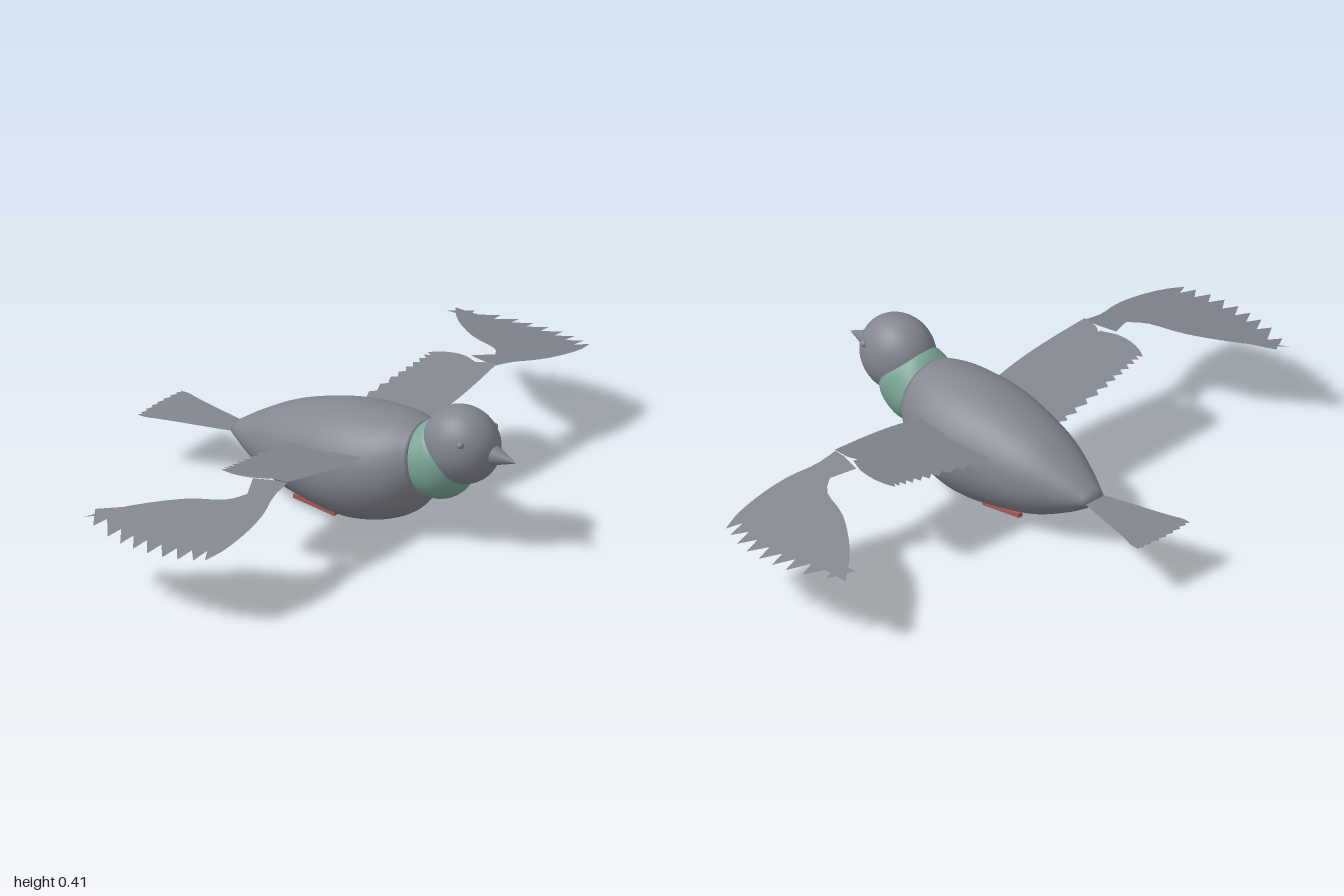
import * as THREE from 'three';

const material = (name, color, side = THREE.FrontSide) => {
  const m = new THREE.MeshStandardMaterial({ color, side });
  m.name = name;
  return m;
};

// Smooth skin through tilted elliptical sections [topX, topY, bottomX, bottomY, halfWidth]
function loft(sections, rows = 40, sides = 40) {
  const curve = (f) => new THREE.CatmullRomCurve3(sections.map(f), false, 'catmullrom', 0.5);
  const tops = curve((s) => new THREE.Vector3(s[0], s[1], s[4]));
  const bottoms = curve((s) => new THREE.Vector3(s[2], s[3], 0));
  const positions = [], index = [];
  for (let i = -1; i <= rows + 1; i++) {
    const u = Math.min(Math.max(i / rows, 0), 1);
    const t = tops.getPoint(u), b = bottoms.getPoint(u);
    const size = i < 0 || i > rows ? 0.001 : 1; // closed ends
    for (let j = 0; j < sides; j++) {
      const a = (j / sides) * Math.PI * 2, c = (Math.cos(a) * size) / 2;
      positions.push((t.x + b.x) / 2 + (t.x - b.x) * c, (t.y + b.y) / 2 + (t.y - b.y) * c, Math.sin(a) * t.z * size);
    }
  }
  for (let i = 0; i < rows + 2; i++) {
    for (let j = 0; j < sides; j++) {
      const a = i * sides + j, b = i * sides + ((j + 1) % sides);
      index.push(a, b, a + sides, b, b + sides, a + sides);
    }
  }
  const g = new THREE.BufferGeometry();
  g.setAttribute('position', new THREE.Float32BufferAttribute(positions, 3));
  g.setIndex(index);
  g.computeVertexNormals();
  return g;
}

// Thin sheet from an outline in x, z; height is a linear rule of x and z
function sheet(outline, height, side = 1) {
  const shape = new THREE.Shape(outline.map(([x, z]) => new THREE.Vector2(x, -z * side)));
  const g = new THREE.ShapeGeometry(shape);
  const p = g.attributes.position;
  for (let i = 0; i < p.count; i++) {
    const x = p.getX(i), z = -p.getY(i);
    p.setXYZ(i, x, height(x, Math.abs(z)), z);
  }
  g.computeVertexNormals();
  return g;
}

// Saw-tooth feather edge: a notch after each feather tip along a curve
function feathers(points, count, notchX, notchZ) {
  const curve = new THREE.SplineCurve(points.map(([x, z]) => new THREE.Vector2(x, z)));
  const edge = [];
  for (let i = 0; i <= count; i++) {
    const tip = curve.getPoint(i / count);
    edge.push([tip.x, tip.y]);
    if (i < count) {
      const n = curve.getPoint((i + 0.75) / count);
      edge.push([n.x + notchX, n.y + notchZ]);
    }
  }
  return edge;
}

const smooth = (points, n = 12) =>
  new THREE.SplineCurve(points.map(([x, z]) => new THREE.Vector2(x, z))).getPoints(n).map((p) => [p.x, p.y]);

export function createModel() {
  const model = new THREE.Group();
  model.name = 'bird';
  const grey = material('greyPlumage', 0x83858f);
  const feather = material('greyFeathers', 0x83858f, THREE.DoubleSide);
  const green = material('greenNeck', 0x7aa595);
  const red = material('redLegs', 0xa85a52);

  const add = (name, geometry, mat, parent = model) => {
    const mesh = new THREE.Mesh(geometry, mat);
    mesh.name = name;
    parent.add(mesh);
    return mesh;
  };

  // Plump body, tapering to the tail
  add('body', loft([
    [-0.33, 0.172, -0.33, 0.134, 0.033],
    [-0.25, 0.223, -0.25, 0.085, 0.078],
    [-0.14, 0.28, -0.14, 0.037, 0.126],
    [0, 0.323, 0, 0.009, 0.158],
    [0.1, 0.339, 0.1, 0.002, 0.17],
    [0.19, 0.343, 0.2, 0.021, 0.163],
    [0.25, 0.342, 0.285, 0.062, 0.138],
    [0.304, 0.332, 0.344, 0.133, 0.1],
  ]), grey);

  // Green neck bending up into the head
  add('neck', loft([
    [0.3, 0.33, 0.342, 0.13, 0.1],
    [0.315, 0.342, 0.375, 0.125, 0.1],
    [0.328, 0.349, 0.415, 0.14, 0.098],
    [0.335, 0.348, 0.447, 0.17, 0.096],
    [0.345, 0.34, 0.465, 0.216, 0.09],
  ], 20), green);

  const head = add('head', new THREE.SphereGeometry(1, 40, 28), grey);
  head.position.set(0.435, 0.302, 0);
  head.scale.set(0.116, 0.113, 0.097);

  const beak = add('beak', new THREE.ConeGeometry(0.034, 0.09, 24), grey);
  beak.rotation.z = -Math.PI / 2 - 0.06;
  beak.position.set(0.576, 0.294, 0);

  // Fanned tail
  const half = smooth([[-0.31, 0.03], [-0.36, 0.044], [-0.445, 0.065], [-0.53, 0.087], [-0.57, 0.1], [-0.6, 0.1]]);
  const end = feathers([[-0.6, 0.1], [-0.606, 0], [-0.6, -0.1]], 8, 0.008, 0);
  const tail = [...half, ...end.slice(1, -1), ...half.map(([x, z]) => [x, -z]).reverse()];
  add('tail', sheet(tail, () => 0.152), feather);

  // Outlines of one wing, mirrored to the other side
  const innerFeathers = [
    [0.13, 0.1], [0.13, 0.485],
    ...smooth([[0.12, 0.488], [0.08, 0.505], [0.035, 0.508], [-0.005, 0.5], [-0.035, 0.485]], 8),
    ...feathers([[-0.035, 0.485], [-0.05, 0.35], [-0.07, 0.13]], 11, 0.018, 0),
    [-0.06, 0.1],
  ];
  const arm = [
    ...smooth([[0.2, 0.1], [0.21, 0.24], [0.207, 0.36], [0.196, 0.49]], 8),
    ...smooth([[0.15, 0.487], [0.118, 0.46], [0.105, 0.36], [0.1, 0.1]], 8),
  ];
  const hand = [
    ...smooth([[0.195, 0.488], [0.2, 0.56], [0.225, 0.64], [0.236, 0.73], [0.232, 0.83], [0.213, 0.9]]),
    ...feathers([[0.213, 0.9], [0.13, 0.932], [0.02, 0.94], [-0.09, 0.925], [-0.224, 0.872]], 9, -0.002, -0.052).slice(1),
    ...smooth([[-0.224, 0.872], [-0.14, 0.77], [-0.02, 0.675], [0.085, 0.63], [0.125, 0.58]]).slice(1),
    [0.093, 0.51], [0.165, 0.49],
  ];
  const innerHeight = (x, z) => 0.222 + 0.146 * z + 0.08 * (x - 0.15);
  const handHeight = (x, z) => 0.295 - 0.195 * (z - 0.5);

  for (const side of [1, -1]) {
    const label = side > 0 ? 'left' : 'right';
    const wing = new THREE.Group();
    wing.name = label + 'Wing';
    model.add(wing);
    add('innerWingFeathers', sheet(innerFeathers, innerHeight, side), feather, wing);
    add('wingArm', sheet(arm, (x, z) => innerHeight(x, z) + 0.004, side), feather, wing);
    add('outerWing', sheet(hand, handHeight, side), feather, wing);

    const eye = add(label + 'Eye', new THREE.SphereGeometry(0.01, 16, 12), grey);
    eye.position.set(0.488, 0.34, side * 0.08);

    // Legs folded against the belly
    const leg = add(label + 'Leg', new THREE.BoxGeometry(0.142, 0.012, 0.016), red);
    leg.position.set(-0.025, 0.018, side * 0.056);
    leg.rotation.z = -0.13;
  }
  return model;
}
